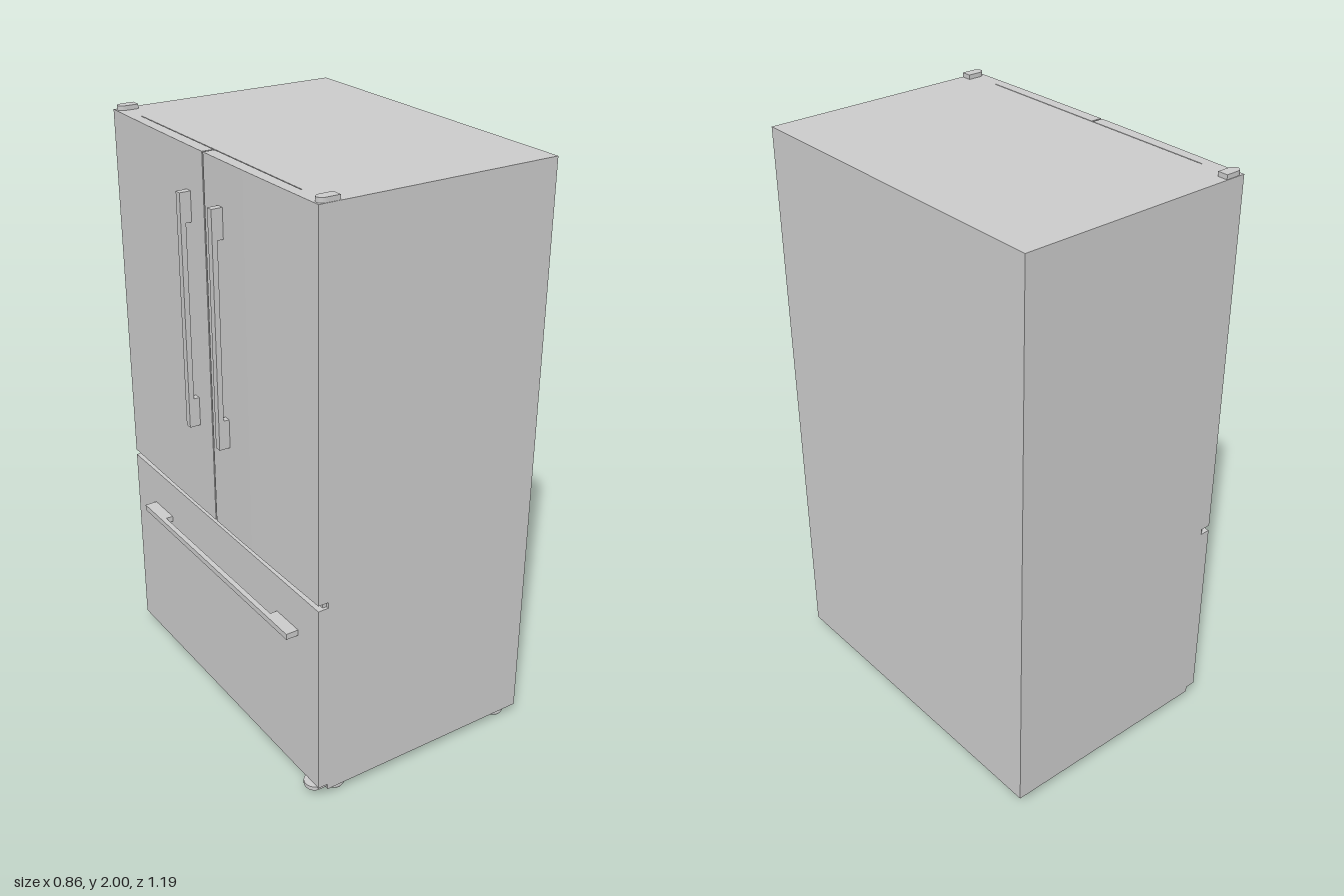
import * as THREE from 'three';

const material = new THREE.MeshStandardMaterial({ color: 0xcccccc });

export function createModel() {
  const model = new THREE.Group();

  function add(name, geometry, x = 0, y = 0, z = 0) {
    const mesh = new THREE.Mesh(geometry, material);
    mesh.name = name;
    mesh.position.set(x, y, z);
    model.add(mesh);
    return mesh;
  }

  // Box given by its limits on each axis
  function block(name, [x0, x1], [y0, y1], [z0, z1]) {
    add(name, new THREE.BoxGeometry(x1 - x0, y1 - y0, z1 - z0),
      (x0 + x1) / 2, (y0 + y1) / 2, (z0 + z1) / 2);
  }

  // Outline of [x, z] points raised from y0 to y1
  function slab(name, points, y0, y1) {
    const shape = new THREE.Shape(points.map(([x, z]) => new THREE.Vector2(x, -z)));
    const geometry = new THREE.ExtrudeGeometry(shape, { depth: y1 - y0, bevelEnabled: false });
    geometry.rotateX(-Math.PI / 2);
    add(name, geometry, 0, y0, 0);
  }

  const W = 0.596;      // half width
  const BACK = -0.354;  // joint between doors and cabinet
  const FRONT = -0.39;  // face of the doors

  // Cabinet, and the recessed strip between doors and drawer
  block('cabinet', [BACK, 0.43], [0.03, 1.985], [-W, W]);
  block('recessStrip', [-0.368, BACK], [0.725, 0.755], [-W + 0.01, W - 0.01]);

  // Freezer drawer
  block('freezerDrawer', [FRONT, BACK], [0.05, 0.73], [-W, W]);

  // Two slightly bowed doors, with a shallow slot behind each
  for (const side of [-1, 1]) {
    const inner = side * 0.003 - 0.003;
    const outline = [];
    for (let i = 0; i <= 8; i++) {
      const z = inner + (side * W - inner) * (i / 8);
      outline.push([FRONT - 0.006 * (1 - (z / W) ** 2), z]);
    }
    outline.push([BACK, side * W], [BACK, side * 0.465], [BACK - 0.003, side * 0.465], [BACK - 0.003, inner]);
    slab(side < 0 ? 'rightDoor' : 'leftDoor', outline, 0.75, 1.985);
  }

  // Handle outline: a bar with a long foot at each end
  function handleOutline(a0, a1, b0, b1) {
    return [[-0.433, a0], [-0.433, b1], [-0.388, b1], [-0.388, b0],
      [-0.415, b0], [-0.415, a1], [-0.388, a1], [-0.388, a0]];
  }

  // Upright door handles
  for (const z of [-0.109, 0.081]) {
    const shape = new THREE.Shape(handleOutline(1.067, 1.165, 1.75, 1.847)
      .map(([x, y]) => new THREE.Vector2(x, y)));
    add('doorHandle', new THREE.ExtrudeGeometry(shape, { depth: 0.023, bevelEnabled: false }), 0, 0, z);
  }

  // Drawer handle
  slab('drawerHandle', handleOutline(-0.459, -0.335, 0.36, 0.483), 0.578, 0.598);

  // Top hinge covers, rounded towards the front
  for (const side of [-1, 1]) {
    const r = 0.0175;
    const cz = side * (W - r - 0.002);
    const outline = [[-0.32, cz - r]];
    for (let i = 0; i <= 12; i++) {
      const a = -Math.PI / 2 + Math.PI * i / 12;
      outline.push([-0.362 - 0.023 * Math.cos(a), cz + r * Math.sin(a)]);
    }
    outline.push([-0.32, cz + r]);
    slab('hingeCover', outline, 1.985, 2);
  }

  // Lower hinge plate under one corner of the drawer
  const plate = [[-0.35, 0.523], [-0.385, 0.523]];
  for (let i = 1; i < 14; i++) {
    const a = Math.PI * i / 14;
    plate.push([-0.385 - 0.028 * Math.sin(a), 0.557 - 0.034 * Math.cos(a)]);
  }
  plate.push([-0.385, 0.591], [-0.35, 0.591]);
  slab('lowerHingePlate', plate, 0.039, 0.053);

  // Round levelling feet with a chamfered base
  const footProfile = [[0, 0], [0.027, 0], [0.032, 0.008], [0.032, 0.023], [0.028, 0.031], [0, 0.031]]
    .map(([r, y]) => new THREE.Vector2(r, y));
  for (const x of [-0.298, 0.373]) {
    for (const z of [-0.537, 0.553]) {
      const foot = new THREE.LatheGeometry(footProfile, 24).toNonIndexed();
      foot.computeVertexNormals();
      add('foot', foot, x, 0, z);
    }
  }

  return model;
}
